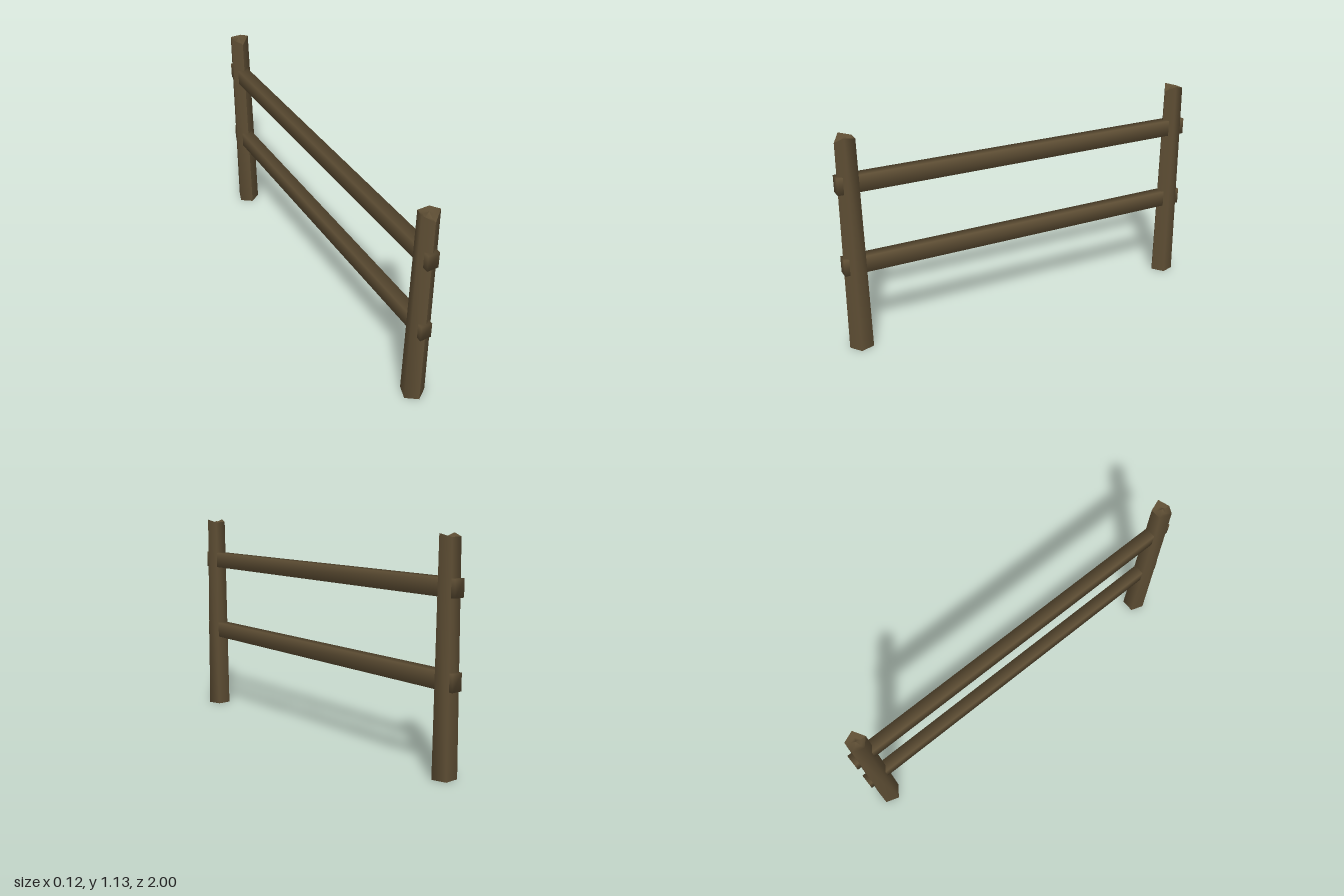
import * as THREE from 'three';
import { mergeVertices } from 'three/addons/utils/BufferGeometryUtils.js';

const wood = new THREE.MeshStandardMaterial({ color: 0x5e4e34, roughness: 1, side: THREE.DoubleSide });

// Uneven sawn rim height, by how far forward the corner lies
function rimHeight(x, z) {
  if (z > 0.03) return 1.095; // front corner
  return z > 0 ? 1.127 : 1.112; // side corners, rear corners
}

// Five-sided lathe with a corner at +z; vertices on the rim follow rimHeight
function fiveSided(profile) {
  const geo = new THREE.LatheGeometry(profile.map(([r, y]) => new THREE.Vector2(r, y)), 5);
  const p = geo.attributes.position;
  for (let i = 0; i < p.count; i++) {
    const x = p.getX(i), z = p.getZ(i);
    if (p.getY(i) > 1 && Math.hypot(x, z) > 0.05) p.setY(i, rimHeight(x, z));
  }
  geo.computeVertexNormals();
  return geo;
}

function addMesh(parent, name, geo) {
  const mesh = new THREE.Mesh(geo, wood);
  mesh.name = name;
  parent.add(mesh);
  return mesh;
}

// Tapered post with a hollowed, splintered top
function makePost(name, z) {
  const post = new THREE.Group();
  post.name = name;
  addMesh(post, 'postShaft', fiveSided([[0, 0], [0.063, 0], [0.052, 1.12]]));
  addMesh(post, 'postTop', fiveSided([[0.052, 1.12], [0.026, 1.1], [0, 1.12]]));
  post.position.z = z;
  return post;
}

// Long beam with softened shading across its edges
function makeRailGeometry() {
  const geo = new THREE.BoxGeometry(0.06, 0.086, 2);
  geo.deleteAttribute('uv');
  geo.deleteAttribute('normal');
  const welded = mergeVertices(geo);
  welded.computeVertexNormals();
  return welded;
}

export function createModel() {
  const fence = new THREE.Group();
  fence.name = 'fence';

  fence.add(makePost('frontPost', 0.937), makePost('backPost', -0.933));

  // Two rails running through both posts
  const railGeo = makeRailGeometry();
  for (const [name, y] of [['lowerRail', 0.462], ['upperRail', 0.887]]) {
    addMesh(fence, name, railGeo).position.y = y;
  }
  return fence;
}
